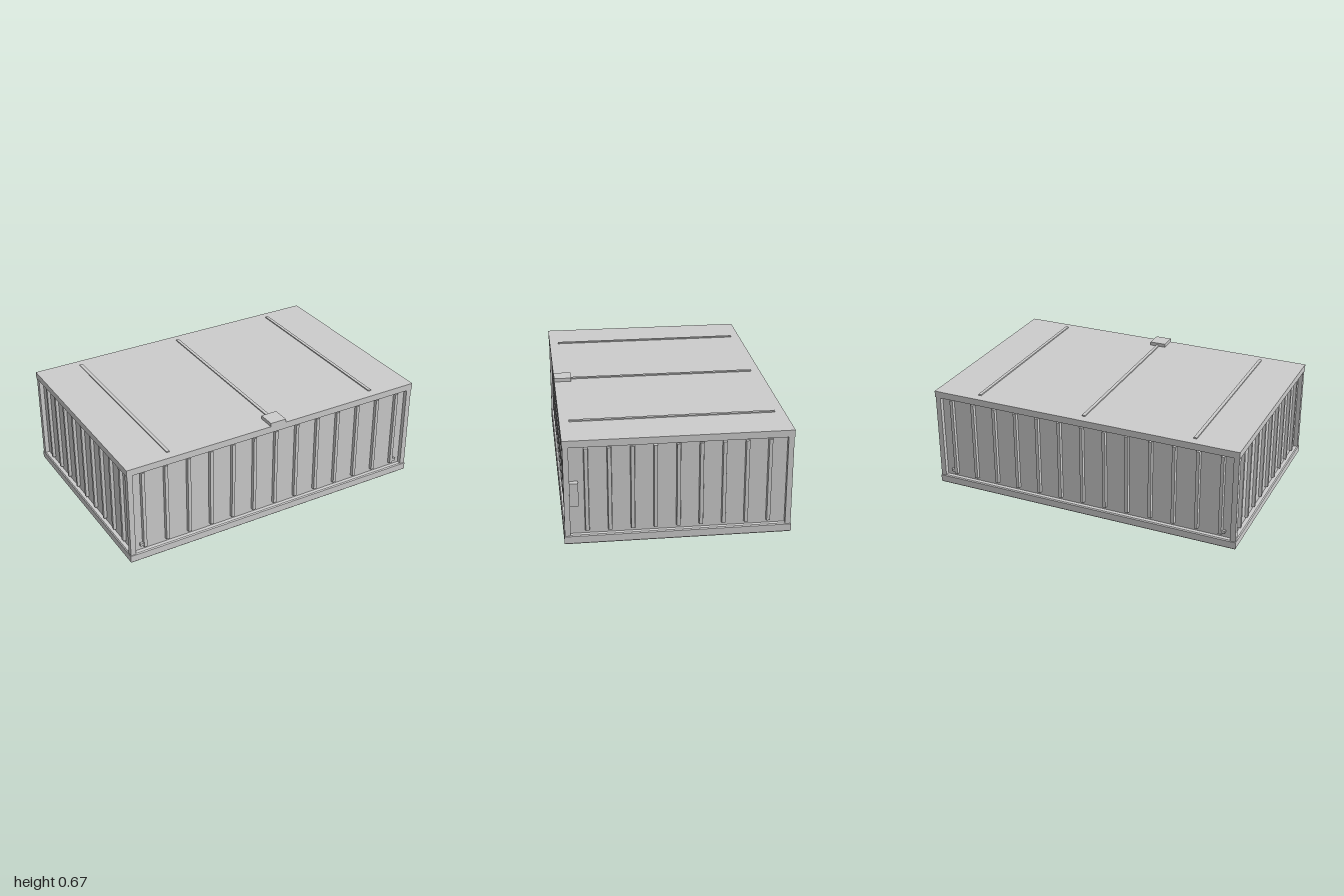
import * as THREE from 'three';

const HX = 0.9975, HZ = 0.662;          // half footprint
const BASE = 0.055, RAIL = 0.603, TOP = 0.645;
const RECESS = 0.03;                    // wall depth behind the frame

export function createModel() {
  const steel = new THREE.MeshStandardMaterial({ color: 0xcccccc });
  steel.name = 'grey steel';
  const model = new THREE.Group();
  model.name = 'container';
  const body = new THREE.Group();
  body.name = 'body';
  body.position.x = -0.0025;
  model.add(body);

  const add = (name, geometry, parent = body) => {
    const mesh = new THREE.Mesh(geometry, steel);
    mesh.name = name;
    parent.add(mesh);
    return mesh;
  };
  // box given by its min and max corners
  const box = (name, x0, x1, y0, y1, z0, z1, parent) => {
    const mesh = add(name, new THREE.BoxGeometry(x1 - x0, y1 - y0, z1 - z0), parent);
    mesh.position.set((x0 + x1) / 2, (y0 + y1) / 2, (z0 + z1) / 2);
    return mesh;
  };

  // base slab with small chamfers
  const c = 0.006, ix = HX - c, iz = HZ - c;
  const footprint = new THREE.Shape([
    new THREE.Vector2(-ix, -iz), new THREE.Vector2(ix, -iz),
    new THREE.Vector2(ix, iz), new THREE.Vector2(-ix, iz),
  ]);
  const slab = new THREE.ExtrudeGeometry(footprint, {
    depth: BASE - 2 * c, bevelEnabled: true, bevelSegments: 1, bevelSize: c, bevelThickness: c,
  });
  slab.rotateX(-Math.PI / 2);
  slab.translate(0, c, 0);
  add('baseFrame', slab);

  // recessed walls and roof slab
  box('walls', -HX + RECESS, HX - RECESS, BASE - 0.01, RAIL + 0.01, -HZ + RECESS, HZ - RECESS);
  box('roof', -HX, HX, RAIL, TOP, -HZ, HZ);

  // corner posts
  const p = 0.033, e = 0.003;
  for (const sx of [-1, 1]) for (const sz of [-1, 1]) {
    const post = box('cornerPost', -p / 2, p / 2, BASE - 0.008, RAIL + 0.005, -p / 2, p / 2);
    post.position.x = sx * (HX - e - p / 2);
    post.position.z = sz * (HZ - e - p / 2);
  }

  // upright wall ribs with a tapered section
  const section = new THREE.Shape([
    new THREE.Vector2(-0.014, 0.002), new THREE.Vector2(-0.010, -0.018),
    new THREE.Vector2(0.010, -0.018), new THREE.Vector2(0.014, 0.002),
  ]);
  const rib = new THREE.ExtrudeGeometry(section, { depth: 0.513, bevelEnabled: false });
  rib.rotateX(-Math.PI / 2);
  rib.translate(0, 0.075, 0);

  const side = (name, count, spacing, distance, angle) => {
    const wall = new THREE.Group();
    wall.name = name;
    wall.rotation.y = angle;
    for (let i = 0; i < count; i++) {
      add('wallRib', rib, wall).position.set((i - (count - 1) / 2) * spacing, 0, distance);
    }
    body.add(wall);
    return wall;
  };
  for (const [name, angle] of [['frontRibs', 0], ['backRibs', Math.PI]]) {
    const wall = side(name, 13, 0.1487, HZ - RECESS, angle);
    // small lugs beside the outer ribs
    for (const s of [-1, 1]) {
      box('lug', s * 0.912 - 0.013, s * 0.912 + 0.013, 0.085, 0.103,
        HZ - RECESS - 0.005, HZ - 0.014, wall);
    }
  }
  side('rightRibs', 9, 0.132, HX - RECESS, Math.PI / 2);
  side('leftRibs', 9, 0.132, HX - RECESS, -Math.PI / 2);

  // roof strips and front roof block
  for (const x of [-0.708, 0, 0.708]) {
    box('roofStrip', x - 0.01, x + 0.01, TOP - 0.005, TOP + 0.007, -0.605, 0.605);
  }
  box('roofBlock', -0.052, 0.052, TOP - 0.005, 0.667, 0.555, HZ);

  // lock box beside the front post
  box('lockBox', HX - RECESS - 0.005, 1.0025, 0.243, 0.385, 0.576, 0.627);

  return model;
}
